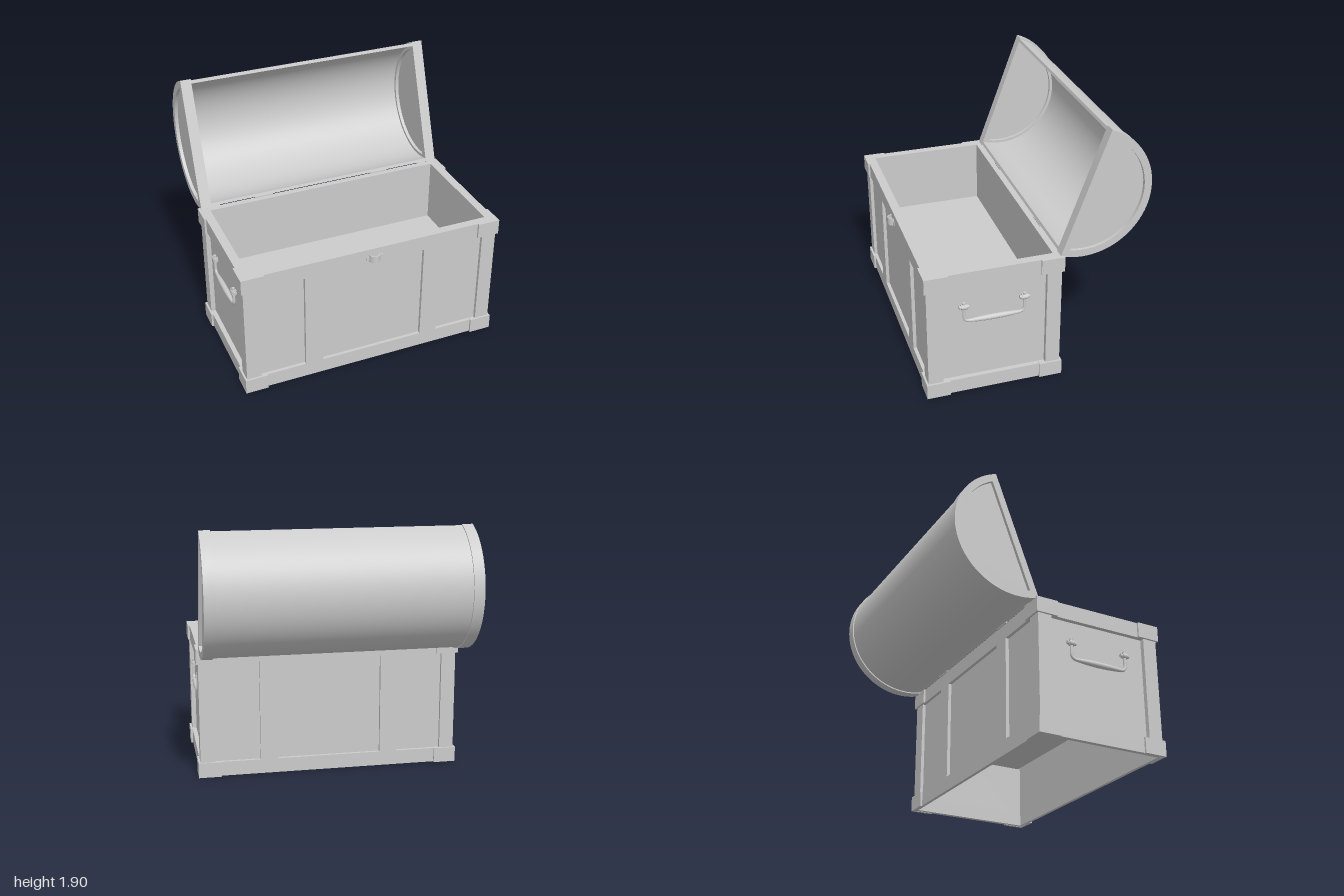
import * as THREE from 'three';
import { toCreasedNormals } from 'three/addons/utils/BufferGeometryUtils.js';

const mat = new THREE.MeshStandardMaterial({ color: 0xcccccc, side: THREE.DoubleSide });

function add(parent, name, geo, x = 0, y = 0, z = 0) {
  const m = new THREE.Mesh(geo, mat);
  m.name = name;
  m.position.set(x, y, z);
  parent.add(m);
  return m;
}

function rect(Type, x0, y0, x1, y1) {
  const s = new Type();
  s.moveTo(x0, y0).lineTo(x1, y0).lineTo(x1, y1).lineTo(x0, y1).closePath();
  return s;
}

function extrude(shape, depth) {
  const g = new THREE.ExtrudeGeometry(shape, { depth, bevelEnabled: false, curveSegments: 40 });
  return toCreasedNormals(g, 0.5);
}

// Half disc with its straight edge at x = inset
function halfDisc(Type, r, inset = 0) {
  const a = Math.acos(inset / r), s = new Type();
  s.absarc(0, 0, r, -a, a, false);
  s.closePath();
  return s;
}

// Half ring opening towards -x
function halfRing(outer, inner) {
  const s = new THREE.Shape();
  s.absarc(0, 0, outer, -Math.PI / 2, Math.PI / 2, false);
  s.absarc(0, 0, inner, Math.PI / 2, -Math.PI / 2, true);
  s.closePath();
  return s;
}

// Frame with recessed panels; its outer face lies on local z = 0
function panelledWall(name, halfWidth, openings, depth) {
  const g = new THREE.Group();
  g.name = name;
  const frame = rect(THREE.Shape, -halfWidth, 0, halfWidth, 0.98);
  for (const [a, b] of openings) {
    frame.holes.push(rect(THREE.Path, a, 0.11, b, 0.875));
    add(g, 'recessedPanel', new THREE.PlaneGeometry(b - a, 0.765), (a + b) / 2, 0.4925, -depth);
  }
  add(g, 'frame', extrude(frame, depth), 0, 0, -depth);
  return g;
}

// Horizontal ring: outer and inner rectangles given as [x, zBack, zFront]
function flatRing(o, i, height) {
  const s = rect(THREE.Shape, -o[0], -o[2], o[0], -o[1]);
  s.holes.push(rect(THREE.Path, -i[0], -i[2], i[0], -i[1]));
  return extrude(s, height).rotateX(-Math.PI / 2);
}

function makeHandle() {
  const g = new THREE.Group();
  g.name = 'handle';
  // Bent rod, running along z
  const v = (y, z) => new THREE.Vector3(0, y, z);
  const path = new THREE.CurvePath();
  path.add(new THREE.LineCurve3(v(0.7, 0.22), v(0.62, 0.22)));
  path.add(new THREE.QuadraticBezierCurve3(v(0.62, 0.22), v(0.592, 0.215), v(0.59, 0.19)));
  path.add(new THREE.LineCurve3(v(0.59, 0.19), v(0.59, -0.19)));
  path.add(new THREE.QuadraticBezierCurve3(v(0.59, -0.19), v(0.592, -0.215), v(0.62, -0.22)));
  path.add(new THREE.LineCurve3(v(0.62, -0.22), v(0.7, -0.22)));
  add(g, 'rod', new THREE.TubeGeometry(path, 60, 0.011, 10));
  // Grip swelling in the middle
  const profile = [];
  for (let i = 0; i <= 12; i++) {
    const t = i / 6 - 1;
    profile.push(new THREE.Vector2(0.011 + 0.01 * (1 - t * t), t * 0.19));
  }
  add(g, 'grip', new THREE.LatheGeometry(profile, 16).rotateX(Math.PI / 2), 0, 0.588, 0);
  // Pivots and their mounts
  for (const z of [-0.22, 0.22]) {
    add(g, 'pivot', new THREE.CylinderGeometry(0.013, 0.013, 0.07, 10).rotateX(Math.PI / 2), 0, 0.706, z);
    add(g, 'pivotCollar', new THREE.CylinderGeometry(0.02, 0.02, 0.04, 12).rotateX(Math.PI / 2), 0, 0.706, z);
    add(g, 'post', new THREE.CylinderGeometry(0.011, 0.011, 0.06, 10), 0, 0.71, z);
    add(g, 'mount', new THREE.BoxGeometry(0.03, 0.022, 0.022), -0.016, 0.706, z);
  }
  return g;
}

function makeBody() {
  const body = new THREE.Group();
  body.name = 'body';
  body.position.z = 0.295;

  // Walls
  const long = [[-0.875, -0.53], [-0.395, 0.395], [0.53, 0.875]];
  for (const [name, turn, z] of [['frontWall', 0, 0.49], ['backWall', Math.PI, -0.49]]) {
    const w = panelledWall(name, 0.985, long, 0.025);
    w.position.z = z;
    w.rotation.y = turn;
    body.add(w);
  }
  for (const s of [-1, 1]) {
    const w = panelledWall(s > 0 ? 'leftWall' : 'rightWall', 0.465, [[-0.383, 0.383]], 0.035);
    w.position.x = s * 0.985;
    w.rotation.y = s * Math.PI / 2;
    body.add(w);
    const h = makeHandle();
    h.position.x = s * 0.97;
    h.scale.x = s;
    body.add(h);
  }

  // Rim, inner lining and raised floor
  add(body, 'rim', flatRing([0.985, -0.49, 0.49], [0.92, -0.44, 0.425], 0.01), 0, 0.98, 0);
  add(body, 'lining', flatRing([0.935, -0.455, 0.44], [0.92, -0.44, 0.425], 0.48), 0, 0.5, 0);
  add(body, 'floor', new THREE.BoxGeometry(1.87, 0.015, 0.895), 0, 0.4925, -0.0075);

  // Corner guards, L-shaped
  for (const sx of [-1, 1]) for (const sz of [-1, 1]) for (const y of [0.055, 0.9325]) {
    const g = new THREE.Group();
    g.name = 'cornerGuard';
    add(g, 'longPlate', new THREE.BoxGeometry(0.17, 0.115, 0.025), sx * 0.915, y, sz * 0.4925);
    add(g, 'shortPlate', new THREE.BoxGeometry(0.025, 0.115, 0.145), sx * 0.9875, y, sz * 0.4075);
    body.add(g);
  }

  // Clasp loop and its feet
  const clasp = halfRing(0.042, 0.034);
  add(body, 'claspLoop', extrude(clasp, 0.055).rotateZ(Math.PI / 2).rotateX(Math.PI / 2), 0, 0.945, 0.488);
  for (const s of [-1, 1]) add(body, 'claspFoot', new THREE.BoxGeometry(0.028, 0.03, 0.008), s * 0.051, 0.9175, 0.493);

  // Hinge plates
  for (const s of [-1, 1]) add(body, 'hinge', new THREE.BoxGeometry(0.14, 0.012, 0.02), s * 0.48, 0.992, -0.49);
  return body;
}

function makeLid() {
  const lid = new THREE.Group();
  lid.name = 'lid';
  lid.position.set(0, 1.445, -0.35);
  lid.rotation.x = -0.349;

  // Barrel
  add(lid, 'barrel', extrude(halfRing(0.475, 0.452), 1.8).rotateY(Math.PI / 2), -0.9, 0, 0);

  // End frames with recessed panels
  for (const s of [-1, 1]) {
    const frame = halfDisc(THREE.Shape, 0.484);
    frame.holes.push(halfDisc(THREE.Path, 0.43, 0.05));
    add(lid, 'endFrame', extrude(frame, 0.08).rotateY(Math.PI / 2), s * 0.939 - 0.04, 0, 0);
    const panel = halfDisc(THREE.Shape, 0.432, 0.048);
    add(lid, 'endPanel', extrude(panel, 0.03).rotateY(Math.PI / 2), s * 0.939 - 0.015, 0, 0);
  }
  return lid;
}

export function createModel() {
  const chest = new THREE.Group();
  chest.name = 'chest';
  chest.add(makeBody(), makeLid());
  return chest;
}
